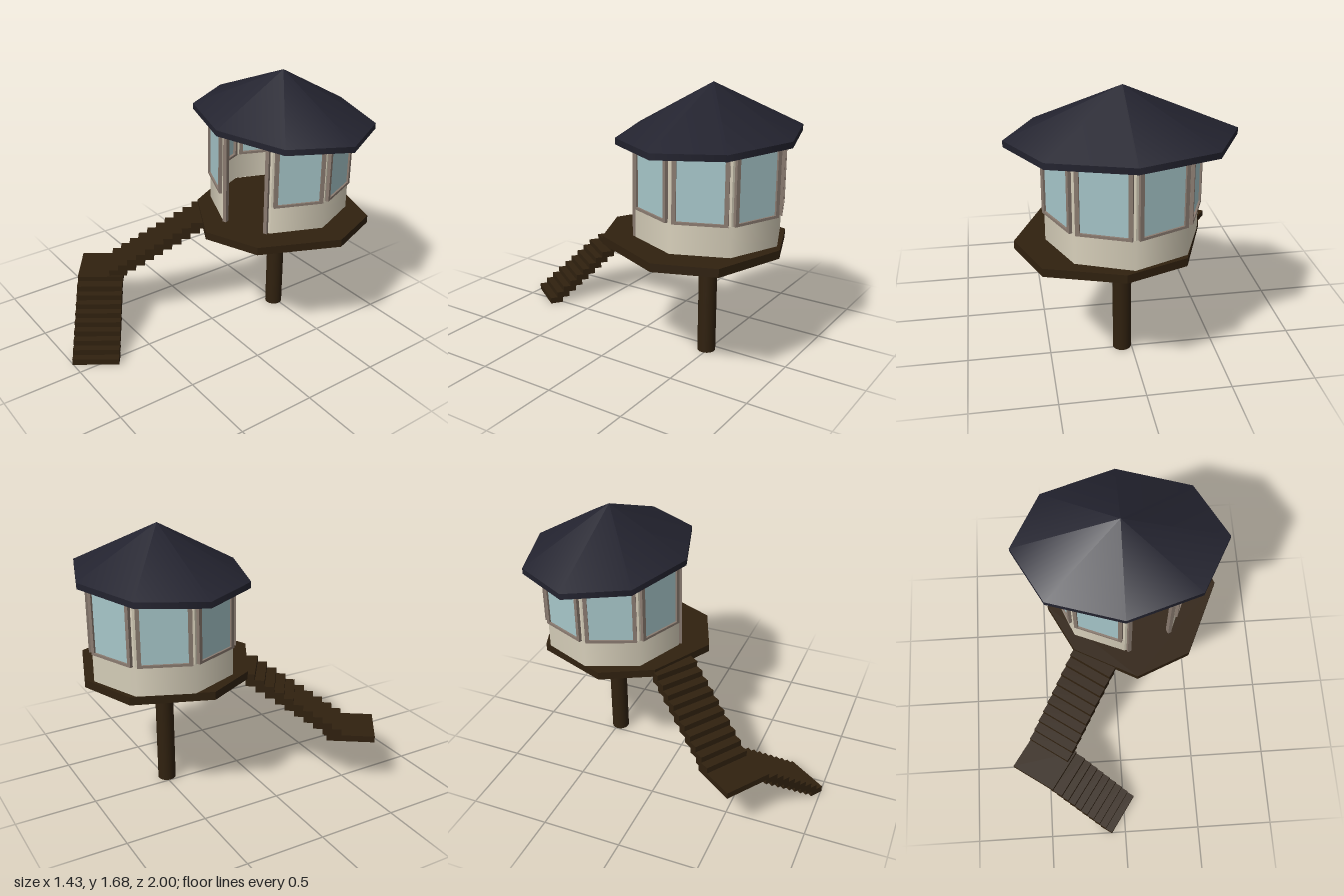
import * as THREE from 'three';

const mat = (name, color, side = THREE.FrontSide) => {
  const m = new THREE.MeshStandardMaterial({ color, side });
  m.name = name;
  return m;
};

export function createModel() {
  const slate = mat('dark slate', 0x23232f);
  const timber = mat('dark timber', 0x30210f);
  const plaster = mat('cream plaster', 0xd8d0bb, THREE.DoubleSide);
  const frame = mat('taupe frame', 0x8a7b70);
  const glass = mat('pale blue glass', 0xa6c6c9, THREE.DoubleSide);

  const model = new THREE.Group();
  model.name = 'treehouse';
  const add = (parent, name, geo, material, x = 0, y = 0, z = 0) => {
    const m = new THREE.Mesh(geo, material);
    m.name = name;
    m.position.set(x, y, z);
    parent.add(m);
    return m;
  };
  // Box given by its minimum and maximum corners
  const block = (parent, name, material, [x0, y0, z0], [x1, y1, z1]) =>
    add(parent, name, new THREE.BoxGeometry(x1 - x0, y1 - y0, z1 - z0), material,
      (x0 + x1) / 2, (y0 + y1) / 2, (z0 + z1) / 2);

  const CX = 0.058, CZ = -0.487;   // cabin axis
  const FLOOR = 0.775, SILL = 0.955, EAVE = 1.36;

  // Supporting trunk
  add(model, 'post', new THREE.CylinderGeometry(0.056, 0.056, 0.73, 24), timber, CX, 0.365, CZ);

  // Uneven eight-sided deck
  const deckShape = new THREE.Shape([
    [0.13, 0.14], [0.47, 0], [0.685, -0.48], [0.55, -0.83],
    [0.11, -0.975], [-0.25, -0.84], [-0.425, -0.38], [-0.265, -0.07],
  ].map(([x, z]) => new THREE.Vector2(x, -z)));
  const deckGeo = new THREE.ExtrudeGeometry(deckShape, { depth: 0.05, bevelEnabled: false });
  deckGeo.rotateX(-Math.PI / 2);
  add(model, 'deck', deckGeo, timber, 0, FLOOR - 0.05, 0);

  // Cabin: low wall round seven sides, the doorway on the eighth
  const cabin = new THREE.Group();
  cabin.name = 'cabin';
  cabin.position.set(CX, 0, CZ);
  model.add(cabin);
  const R = 0.447, STEP = Math.PI / 4;
  add(cabin, 'lowerWall',
    new THREE.CylinderGeometry(R, R, SILL - FLOOR, 7, 1, true, STEP, 7 * STEP),
    plaster, 0, (SILL + FLOOR) / 2, 0);

  const apothem = R * Math.cos(STEP / 2), half = R * Math.sin(STEP / 2);
  for (let i = 0; i < 8; i++) {
    const side = new THREE.Group();
    side.name = i === 0 ? 'doorway' : 'window' + i;
    side.rotation.y = (i + 0.5) * STEP;
    cabin.add(side);
    const bottom = i === 0 ? FLOOR : SILL;
    const w = half - 0.014, back = apothem - 0.012, front = apothem + 0.02;
    for (const s of [-1, 1]) {
      // Cream strip beside each corner, then the upright of the frame
      block(side, 'cornerStrip', plaster,
        [s > 0 ? w : -half, bottom, apothem - 0.006], [s > 0 ? half : -w, EAVE, apothem]);
      block(side, 'upright', frame,
        [s > 0 ? w - 0.024 : -w, bottom, back], [s > 0 ? w : -w + 0.024, EAVE, front]);
    }
    if (i === 0) continue;
    block(side, 'sillRail', frame, [-w + 0.024, SILL, back], [w - 0.024, SILL + 0.016, front]);
    add(side, 'pane', new THREE.PlaneGeometry(2 * w - 0.046, EAVE - SILL - 0.014),
      glass, 0, (EAVE + SILL + 0.014) / 2, apothem + 0.008);
  }

  // Wide eight-sided roof: eave slab and cone
  const roof = new THREE.Group();
  roof.name = 'roof';
  roof.position.set(CX, 0, -0.495);
  roof.scale.set(0.66, 1, 0.505);
  model.add(roof);
  add(roof, 'eave', new THREE.CylinderGeometry(1, 1, 0.037, 8), slate, 0, EAVE + 0.0165, 0);
  add(roof, 'roofCone', new THREE.ConeGeometry(1, 0.285, 8, 1, true), slate, 0, 1.395 + 0.1425, 0);

  // Stairs: landing at the turn, one flight up to the deck, one down to the ground
  const stairs = new THREE.Group();
  stairs.name = 'stairs';
  stairs.position.set(-0.717, 0, 0.574);
  stairs.rotation.y = -0.604;
  model.add(stairs);
  const W = 0.295, T = 0.04;
  block(stairs, 'landing', timber, [0, 0.325, -W], [W + 0.012, 0.365, 0]);
  for (let i = 0; i < 10; i++) {
    const top = 0.405 + 0.039 * i, q = 0.206 + 0.06 * i;
    block(stairs, 'upperTread', timber, [0, top - T, -q - 0.115], [W, top, -q]);
  }
  for (let i = 0; i < 9; i++) {
    const top = T + 0.0365 * i, p = 0.671 - 0.048 * i;
    block(stairs, 'lowerTread', timber, [p, top - T, -W + 0.003], [p + 0.087, top, 0]);
  }
  return model;
}
